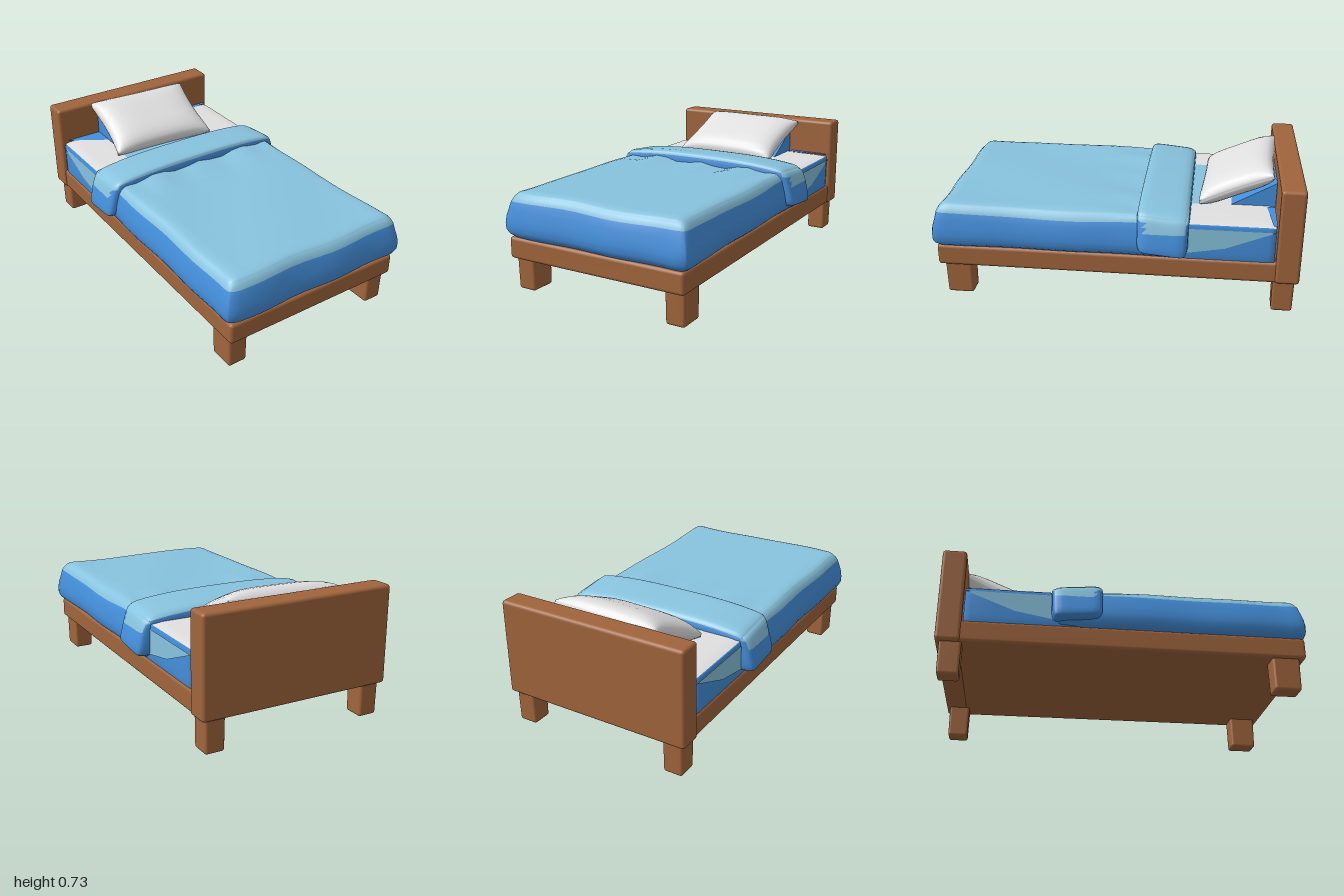
import * as THREE from 'three';
import { mergeVertices } from 'three/addons/utils/BufferGeometryUtils.js';
import { RoundedBoxGeometry } from 'three/addons/geometries/RoundedBoxGeometry.js';

const material = (name, color, side = THREE.FrontSide) => {
  const m = new THREE.MeshStandardMaterial({ color, side });
  m.name = name;
  return m;
};

// Box with a grid denser near its edges, reshaped by rule(p, u) where u is -1..1 per axis
function shapedBox(w, h, d, segments, rule) {
  let g = new THREE.BoxGeometry(2, 2, 2, ...segments);
  g.deleteAttribute('uv');
  g.deleteAttribute('normal');
  g = mergeVertices(g, 1e-4);
  g.clearGroups();
  const pos = g.attributes.position;
  const p = new THREE.Vector3();
  const u = new THREE.Vector3();
  const ease = t => Math.sin(t * Math.PI / 2);
  for (let i = 0; i < pos.count; i++) {
    u.fromBufferAttribute(pos, i);
    u.set(ease(u.x), ease(u.y), ease(u.z));
    p.set(u.x * w / 2, u.y * h / 2, u.z * d / 2);
    rule(p, u);
    pos.setXYZ(i, p.x, p.y, p.z);
  }
  g.computeVertexNormals();
  return g;
}

// Pull a point of a box onto a box with rounded edges
function roundEdges(p, w, h, d, r) {
  const inner = p.clone().clamp(
    new THREE.Vector3(-w / 2 + r, -h / 2 + r, -d / 2 + r),
    new THREE.Vector3(w / 2 - r, h / 2 - r, d / 2 - r));
  const out = p.clone().sub(inner);
  if (out.length() > r) p.copy(inner).add(out.setLength(r));
}

// Group 0: faces turned upward, group 1: all others
function splitTop(g, limit) {
  const pos = g.attributes.position;
  const lists = [[], []];
  const t = new THREE.Triangle();
  const n = new THREE.Vector3();
  for (let i = 0; i < g.index.count; i += 3) {
    const face = [0, 1, 2].map(k => g.index.getX(i + k));
    t.setFromAttributeAndIndices(pos, ...face);
    t.getNormal(n);
    lists[n.y > limit ? 0 : 1].push(...face);
  }
  g.setIndex([...lists[0], ...lists[1]]);
  g.addGroup(0, lists[0].length, 0);
  g.addGroup(lists[0].length, lists[1].length, 1);
  return g;
}

export function createModel() {
  const bed = new THREE.Group();
  bed.name = 'bed';
  const wood = material('brown wood', 0xa0653c);
  const blue = material('blue fabric', 0x448fdb);
  const lightBlue = material('light blue fabric', 0x88c3de);
  const white = material('white linen', 0xe0e0e0);
  const blueFlat = material('blue sheet', 0x448fdb, THREE.DoubleSide);
  const lightFlat = material('light blue sheet', 0x88c3de, THREE.DoubleSide);

  const add = (name, geometry, mat, x = 0, y = 0, z = 0) => {
    const mesh = new THREE.Mesh(geometry, mat);
    mesh.name = name;
    mesh.position.set(x, y, z);
    bed.add(mesh);
    return mesh;
  };

  // Wooden frame and headboard
  add('frame', new RoundedBoxGeometry(1.07, 0.12, 1.86, 2, 0.018), wood, 0, 0.24, 0.04);
  add('headboard', new RoundedBoxGeometry(1.09, 0.535, 0.13, 2, 0.018), wood, 0, 0.4475, -0.935);

  // Four legs, slightly narrower at the foot
  for (const side of [-1, 1]) {
    for (const [name, z, depth] of [['frontLeg', 0.86, 0.155], ['backLeg', -0.92, 0.12]]) {
      const leg = new RoundedBoxGeometry(0.115, 0.21, depth, 2, 0.015);
      const pos = leg.attributes.position;
      for (let i = 0; i < pos.count; i++) {
        const s = 0.96 + 0.2 * pos.getY(i);
        pos.setX(i, pos.getX(i) * s);
        pos.setZ(i, pos.getZ(i) * s);
      }
      add(name, leg, wood, side * 0.463, 0.105, z);
    }
  }

  // Mattress: white top, blue sides
  const mattress = shapedBox(1.06, 0.22, 0.62, [6, 6, 6], p => roundEdges(p, 1.06, 0.22, 0.62, 0.025));
  add('mattress', splitTop(mattress, 0.6), [white, blue], 0, 0.395, -0.56);

  // Flat sheet patches on the mattress
  const patch = (points, mat, name) => add(name,
    new THREE.ShapeGeometry(new THREE.Shape(points.map(([a, b]) => new THREE.Vector2(a, b)))), mat);
  for (const side of [-1, 1]) {
    const sheet = patch([[0.38, 0.33], [0.6, 0.37], [0.86, 0.475], [0.38, 0.475]], lightFlat, 'sideSheet');
    sheet.rotation.y = Math.PI / 2;
    sheet.position.x = side * 0.533;
  }
  const topPatches = [
    ['tuckedSheet', lightFlat, [[-0.3, 0.38], [0.28, 0.38], [0.28, 0.52], [-0.3, 0.52]]],
    ['headSheet', blueFlat, [[-0.5, 0.865], [-0.28, 0.73], [-0.28, 0.865]]],
    ['headSheet', blueFlat, [[0.28, 0.865], [0.28, 0.82], [0.52, 0.845], [0.52, 0.865]]]
  ];
  for (const [name, mat, points] of topPatches) {
    const sheet = patch(points, mat, name);
    sheet.rotation.x = -Math.PI / 2;
    sheet.position.y = 0.508;
  }

  // Blanket: light top, blue hanging sides that bulge low and at the foot corners
  const bw = 1.08, bh = 0.25, bd = 1.37;
  const blanket = shapedBox(bw, bh, bd, [20, 10, 24], (p, u) => {
    roundEdges(p, bw, bh, bd, 0.055);
    const bulge = 0.02 * Math.cos((u.y + 0.4) * 1.9);
    const foot = Math.max(0, u.z) ** 8 * Math.abs(u.x) ** 8;
    const ripple = Math.sin(p.z * 11 + p.x * 4) * 0.004;
    p.x += u.x ** 3 * (bulge + ripple + 0.012 * foot);
    p.z += Math.max(0, u.z) ** 3 * (bulge - 0.008 + 0.006 * Math.sin(p.x * 13));
    if (u.y > 0.5) {
      p.y += 0.004 * Math.sin(p.x * 8 + p.z * 5) + 0.008 * u.z;
      p.y += 0.012 * Math.cos(p.x * 22) * Math.exp(-(((p.z + 0.4) / 0.13) ** 2));
    }
  });
  add('blanket', splitTop(blanket, 0.42), [lightBlue, blue], 0, 0.415, 0.295);

  // Folded blanket band, flaring outward down the sides
  const fw = 1.1, fh = 0.25, fd = 0.28;
  const fold = shapedBox(fw, fh, fd, [20, 10, 10], (p, u) => {
    roundEdges(p, fw, fh, fd, 0.045);
    const ends = Math.abs(u.x) ** 3;
    p.x *= 1.055 - 0.058 * u.y;
    if (u.y > 0) p.y -= u.y * (0.035 * ends - 0.014 * u.z);
    if (u.y < 0) p.y -= u.y * 0.012 * u.z;
    p.z *= 1 - 0.05 * ends * (1 - u.y) / 2;
  });
  add('blanketFold', splitTop(fold, 0.3), [lightBlue, blue], 0, 0.453, -0.27);

  // Blue bolster wedge behind the pillow
  const wedge = new THREE.Shape([[0.62, 0.5], [0.868, 0.5], [0.868, 0.64]].map(([a, b]) => new THREE.Vector2(a, b)));
  const bolster = add('bolster', new THREE.ExtrudeGeometry(wedge, { depth: 0.54, bevelEnabled: false }), blue, -0.28);
  bolster.rotation.y = Math.PI / 2;

  // Puffed pillow with pinched corners, leaning on the headboard
  const pillow = shapedBox(0.64, 0.15, 0.43, [18, 6, 14], (p, u) => {
    const puff = Math.sqrt((1 - u.x ** 4) * (1 - u.z ** 4));
    p.y *= 0.12 + 0.88 * puff;
    p.x *= 1 - 0.06 * (1 - u.z * u.z);
    p.z *= 1 - 0.05 * (1 - u.x * u.x);
  });
  const pillowMesh = add('pillow', pillow, white, -0.01, 0.612, -0.668);
  pillowMesh.rotation.set(0.42, -0.06, 0, 'YXZ');

  return bed;
}
